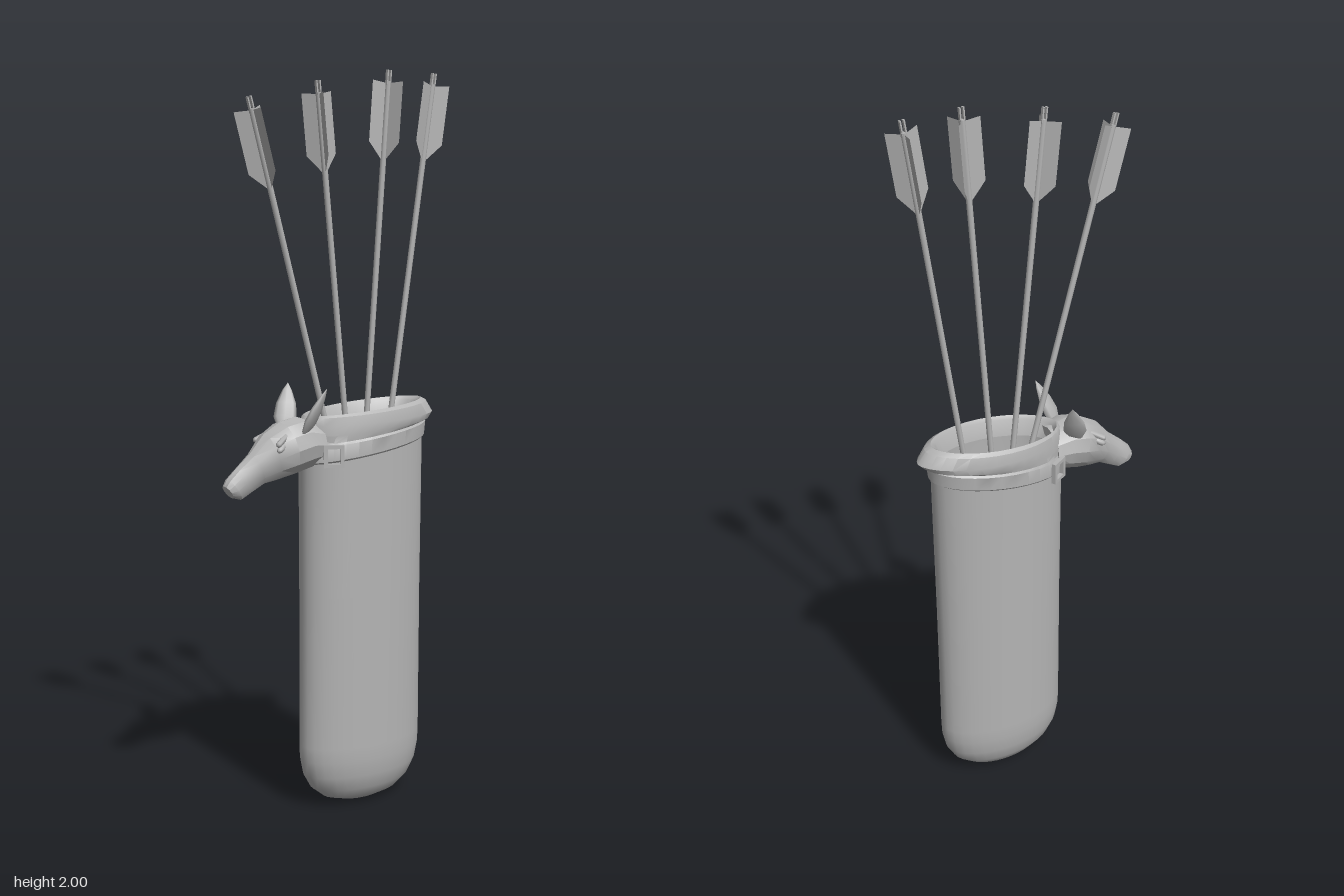
import * as THREE from 'three';
import { toCreasedNormals } from 'three/addons/utils/BufferGeometryUtils.js';

const grey = new THREE.MeshStandardMaterial({ color: 0xb4b4b4, side: THREE.DoubleSide });
grey.name = 'plain grey';

function part(name, geometry, parent) {
  const mesh = new THREE.Mesh(geometry, grey);
  mesh.name = name;
  parent.add(mesh);
  return mesh;
}

// Skin through rings that all have the same number of points
function loft(rings, crease) {
  const n = rings[0].length, index = [];
  for (let r = 0; r < rings.length - 1; r++) {
    for (let i = 0; i < n; i++) {
      const a = r * n + i, b = r * n + (i + 1) % n;
      index.push(a, a + n, b, b, a + n, b + n);
    }
  }
  const geometry = new THREE.BufferGeometry().setFromPoints(rings.flat());
  geometry.setIndex(index);
  geometry.computeVertexNormals();
  return crease ? toCreasedNormals(geometry, crease) : geometry;
}

// Oval ring: "tilt" lifts the +x end, "point" pinches the ends of the oval
function oval(cx, rx, rz, y, tilt = 0, point = 0) {
  return Array.from({ length: 32 }, (_, i) => {
    const t = i / 32 * Math.PI * 2, s = Math.sin(t);
    const z = rz * s * Math.pow(Math.abs(s) + 1e-6, point);
    return new THREE.Vector3(cx + rx * Math.cos(t), y + tilt * Math.cos(t), z);
  });
}

// Ring spanned by a top point, a bottom point and a half width
function section([tx, ty, bx, by, w]) {
  return Array.from({ length: 12 }, (_, i) => {
    const t = i / 12 * Math.PI * 2, c = Math.cos(t);
    return new THREE.Vector3((tx + bx + c * (tx - bx)) / 2, (ty + by + c * (ty - by)) / 2, w * Math.sin(t));
  });
}

function makeArrow(nock, mouth, spin) {
  const arrow = new THREE.Group();
  arrow.name = 'arrow';
  const top = new THREE.Vector3(...nock), dir = top.clone().sub(new THREE.Vector3(...mouth)).normalize();
  const length = (top.y - 0.75) / dir.y;
  const shaft = part('shaft', new THREE.CylinderGeometry(0.008, 0.008, length - 0.03, 8), arrow);
  shaft.position.y = -0.03 - (length - 0.03) / 2;
  // Two prongs of the string notch
  for (const s of [-1, 1]) {
    part('nock', new THREE.BoxGeometry(0.004, 0.04, 0.009), arrow).position.set(s * 0.005, -0.02, 0);
  }
  // Three feathers around the shaft
  const outline = [[0, -0.035], [0.046, -0.03], [0.046, -0.19], [0.007, -0.235], [0, -0.235]];
  const vane = new THREE.ShapeGeometry(new THREE.Shape(outline.map(p => new THREE.Vector2(...p))));
  for (let i = 0; i < 3; i++) part('feather', vane, arrow).rotation.y = spin + i * Math.PI * 2 / 3;
  arrow.position.copy(top);
  arrow.quaternion.setFromUnitVectors(new THREE.Vector3(0, 1, 0), dir);
  return arrow;
}

export function createModel() {
  const model = new THREE.Group();
  model.name = 'quiver';

  // Oval tube with a rounded bottom
  const profile = [[0, 0.004], [0.35, 0.009], [0.62, 0.025], [0.82, 0.055], [0.94, 0.095], [0.99, 0.14], [1, 0.18], [1, 0.6], [1.015, 1.04]];
  part('body', loft(profile.map(([k, y]) => oval(0.088 + y * 0.004, 0.191 * k, 0.099 * k, y))), model);

  // Band, rolled lip and inner lining
  part('rim', loft([
    oval(0.093, 0.193, 0.1, 0.988, 0.028),
    oval(0.093, 0.2, 0.104, 0.993, 0.028),
    oval(0.095, 0.202, 0.105, 1.032, 0.026),
    oval(0.095, 0.197, 0.101, 1.038, 0.025),
    oval(0.104, 0.208, 0.105, 1.05, 0.015, 0.1),
    oval(0.112, 0.215, 0.106, 1.072, 0.008, 0.2),
    oval(0.104, 0.2, 0.1, 1.098, 0.014, 0.15),
    oval(0.098, 0.187, 0.09, 1.105, 0.015, 0.1),
    oval(0.096, 0.175, 0.083, 1.095, 0.015),
    oval(0.095, 0.158, 0.074, 1.05, 0.015),
  ], 0.6), model);
  part('lining', loft([
    oval(0.095, 0.158, 0.074, 1.05, 0.015),
    oval(0.092, 0.165, 0.078, 0.9),
    oval(0.09, 0.165, 0.078, 0.16),
    oval(0.09, 0.12, 0.055, 0.07),
    oval(0.09, 0, 0, 0.05),
  ]), model);

  // Animal head, from the neck to the nose
  const head = new THREE.Group();
  head.name = 'animalHead';
  model.add(head);
  part('skull', loft([
    [-0.065, 1.02, -0.065, 1.02, 0],
    [-0.065, 1.075, -0.06, 0.96, 0.066],
    [-0.12, 1.09, -0.09, 0.95, 0.074],
    [-0.17, 1.08, -0.14, 0.937, 0.073],
    [-0.22, 1.052, -0.185, 0.926, 0.054],
    [-0.262, 1.004, -0.225, 0.92, 0.034],
    [-0.305, 0.968, -0.262, 0.9, 0.025],
    [-0.332, 0.943, -0.292, 0.885, 0.026],
    [-0.341, 0.925, -0.318, 0.892, 0.02],
    [-0.336, 0.91, -0.336, 0.91, 0],
  ].map(section), 0.5), head);

  // Ears, eyes and brows, mirrored
  const earShape = [[0.016, 0], [0.031, 0.035], [0.027, 0.075], [0.012, 0.115], [0, 0.135]];
  const ear = new THREE.LatheGeometry(earShape.map(p => new THREE.Vector2(...p)), 8);
  ear.scale(1, 1, 0.4);
  for (const s of [-1, 1]) {
    const e = part('ear', ear, head);
    e.position.set(-0.125, 1.05, s * 0.05);
    e.quaternion.setFromUnitVectors(new THREE.Vector3(0, 1, 0), new THREE.Vector3(0.3, 0.88, s * 0.32).normalize());
    e.rotateY(s * 0.6);
    const eye = part('eye', new THREE.SphereGeometry(0.013, 8, 6), head);
    eye.scale.set(1.4, 0.7, 0.7);
    eye.position.set(-0.2, 1.018, s * 0.054);
    eye.rotation.set(0, s * 0.45, 0.5);
    const brow = part('brow', new THREE.CapsuleGeometry(0.008, 0.04, 3, 6), head);
    brow.position.set(-0.193, 1.038, s * 0.049);
    brow.rotation.set(0, s * 0.45, -1.1);
  }

  // Square buckles on both sides of the band
  const frame = new THREE.Shape([[-1, -1], [1, -1], [1, 1], [-1, 1]].map(([x, y]) => new THREE.Vector2(x * 0.027, y * 0.03)));
  frame.holes.push(new THREE.Path([[-1, -1], [-1, 1], [1, 1], [1, -1]].map(([x, y]) => new THREE.Vector2(x * 0.017, y * 0.02))));
  const buckle = new THREE.ExtrudeGeometry(frame, { depth: 0.012, bevelEnabled: false });
  buckle.translate(0, 0, -0.006);
  for (const s of [-1, 1]) {
    const b = part('buckle', buckle, model);
    b.position.set(-0.052, 0.988, s * 0.08);
    b.rotation.y = -s * 0.5;
  }

  // Four arrows: nock, point at the mouth, feather angle
  [
    [[-0.265, 1.91, 0.012], [-0.03, 1.08, 0.003], 0.5],
    [[-0.057, 1.96, 0.012], [0.038, 1.09, 0], 0.2],
    [[0.172, 1.998, 0.012], [0.115, 1.1, -0.004], 0.9],
    [[0.333, 1.998, 0], [0.2, 1.1, -0.006], 1.4],
  ].forEach(a => model.add(makeArrow(...a)));

  return model;
}
